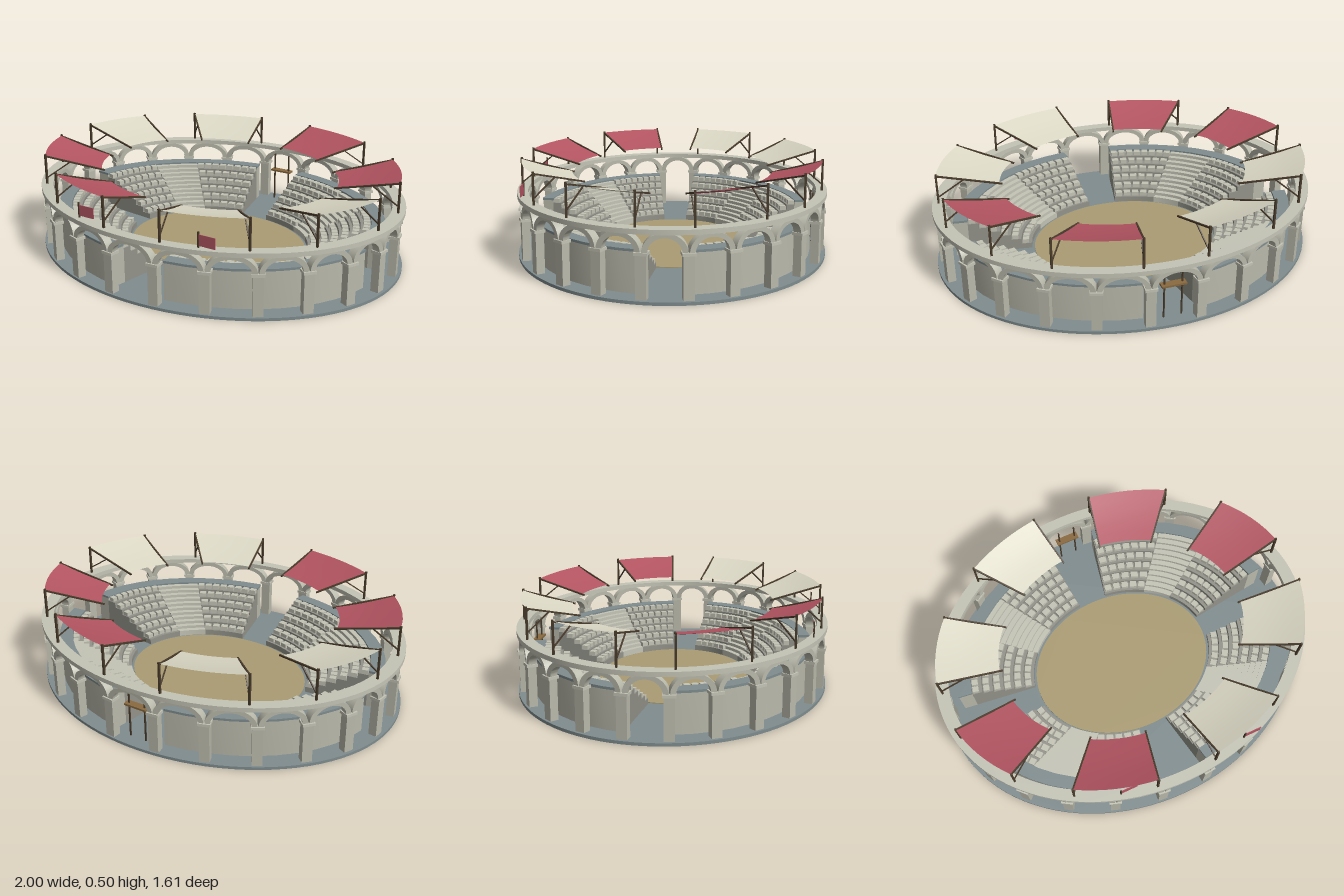
import * as THREE from 'three';
import { toCreasedNormals } from 'three/addons/utils/BufferGeometryUtils.js';

const K = 0.805; // ellipse depth / width
const RAD = Math.PI / 180;
const paint = (color, side = THREE.FrontSide) => new THREE.MeshStandardMaterial({ color, side });
const stone = paint(0xb9b9ab), pale = paint(0xc4c4b6), shade = paint(0x93938a);
const slate = paint(0x7f8c8e), sand = paint(0xaa9c72), dark = paint(0x4a3c2c), wood = paint(0x8a6a40);
const red = paint(0xb45562, THREE.DoubleSide), cream = paint(0xdcd9c6, THREE.DoubleSide);

// point on the ellipse of size r at parameter angle t (degrees)
const at = (r, t, y = 0) => new THREE.Vector3(r * Math.cos(t * RAD), y, -K * r * Math.sin(t * RAD));
// yaw that turns local +z to the outward normal
const yaw = (t) => Math.atan2(Math.cos(t * RAD), -Math.sin(t * RAD) / K);

function add(parent, name, geo, mat, pos, ry = 0) {
  const m = new THREE.Mesh(geo, mat);
  m.name = name;
  if (pos) m.position.copy(pos);
  m.rotation.y = ry;
  parent.add(m);
  return m;
}

// flat shape laid on the ground and raised from y0 to y1
function raise(shape, y0, y1, curveSegments = 48) {
  const g = new THREE.ExtrudeGeometry(shape, { depth: y1 - y0, bevelEnabled: false, curveSegments });
  g.rotateX(-Math.PI / 2).translate(0, y0, 0);
  return toCreasedNormals(g, 0.4);
}

function ellipse(r, hole) {
  const s = new THREE.Shape().absellipse(0, 0, r, r * K, 0, Math.PI * 2);
  if (hole) s.holes.push(new THREE.Path().absellipse(0, 0, hole, hole * K, 0, Math.PI * 2));
  return s;
}

function sector(r0, r1, y0, y1, t0, t1) {
  const pts = [], n = 10;
  const put = (r, t) => { const p = at(r, t); pts.push(new THREE.Vector2(p.x, -p.z)); };
  for (let i = 0; i <= n; i++) put(r1, t0 + (t1 - t0) * i / n);
  for (let i = n; i >= 0; i--) put(r0, t0 + (t1 - t0) * i / n);
  return raise(new THREE.Shape(pts), y0, y1);
}

// thin square bar between two points
function beam(parent, name, a, b, w, mat = dark) {
  const g = new THREE.BoxGeometry(w, w, a.distanceTo(b));
  const m = add(parent, name, g, mat, a.clone().add(b).multiplyScalar(0.5));
  m.lookAt(b);
}

// columns, capitals, arches and the crowning ring
function arcade() {
  const g = new THREE.Group();
  g.name = 'arcade';
  const n = 24, step = 360 / n, r = 0.963;
  for (let i = 0; i < n; i++) {
    const t = (i + 0.5) * step;
    add(g, 'column', new THREE.BoxGeometry(0.05, 0.2, 0.042), stone, at(r, t, 0.115), yaw(t));
    add(g, 'capital', new THREE.BoxGeometry(0.062, 0.014, 0.054), pale, at(r, t, 0.222), yaw(t));
    const a = at(r, t), b = at(r, t + step), half = a.distanceTo(b) / 2;
    const s = new THREE.Shape();
    s.moveTo(half, 0);
    s.absellipse(0, 0, half, 0.087, 0, Math.PI, false);
    s.lineTo(-half + 0.026, 0);
    s.absellipse(0, 0, half - 0.026, 0.065, Math.PI, 0, true);
    const geo = new THREE.ExtrudeGeometry(s, { depth: 0.042, bevelEnabled: false, curveSegments: 14 });
    geo.translate(0, 0, -0.021);
    const d = b.clone().sub(a);
    add(g, 'arch', toCreasedNormals(geo, 0.5), stone,
      a.add(b).multiplyScalar(0.5).setY(0.228), Math.atan2(-d.z, d.x));
  }
  add(g, 'topRing', raise(ellipse(0.998, 0.93), 0.312, 0.335), pale);
  return g;
}

// one quarter of the stands: two seating blocks with stairs between
function stand(start) {
  const g = new THREE.Group();
  g.name = 'stand';
  const rows = 6, r0 = 0.5, r1 = 0.83, depth = (r1 - r0) / rows;
  const height = (i) => 0.045 + i * 0.03;
  for (const [a, b] of [[9, 35.5], [54.5, 81]]) {
    const t0 = start + a, t1 = start + b;
    for (let i = 0; i < rows; i++) {
      const r = r0 + i * depth, y = height(i);
      add(g, 'tier', sector(r, r + depth, 0.014, y, t0, t1), shade);
      const count = 5 + Math.floor(i * 0.6), gap = (t1 - t0) / count;
      for (let k = 0; k < count; k++) {
        const t = t0 + (k + 0.5) * gap, rs = r + depth * 0.6;
        const width = at(rs, t - gap / 2).distanceTo(at(rs, t + gap / 2)) * 0.76;
        add(g, 'seat', new THREE.BoxGeometry(width, 0.022, 0.032), pale, at(rs, t, y + 0.011), yaw(t));
      }
    }
  }
  const steps = 11;
  for (let i = 0; i < steps; i++) {
    const d = (r1 - r0) / steps, r = r0 + i * d;
    add(g, 'stair', sector(r, r + d, 0.014, 0.03 + (i + 1) * 0.0165, start + 35.5, start + 54.5), pale);
  }
  add(g, 'outerWall', sector(r1, 0.9, 0.014, 0.208, start + 9, start + 81), stone);
  add(g, 'walkway', sector(r1, 0.905, 0.208, 0.22, start + 9, start + 81), slate);
  return g;
}

// sloping cloth on two braced posts
function awning(t0, t1, cloth) {
  const g = new THREE.Group();
  g.name = 'awning';
  const rIn = 0.65, rOut = 0.965;
  const slope = (r) => 0.42 + 0.07 * (r - rIn) / (rOut - rIn);
  const geo = new THREE.PlaneGeometry(1, 1, 8, 6), p = geo.attributes.position;
  for (let i = 0; i < p.count; i++) {
    const u = p.getX(i) + 0.5, v = p.getY(i) + 0.5, r = rIn + (rOut - rIn) * v;
    const q = at(r, t1 + (t0 - t1) * u, slope(r) - 0.006 * Math.sin(Math.PI * v));
    p.setXYZ(i, q.x, q.y, q.z);
  }
  geo.computeVertexNormals();
  add(g, 'cloth', geo, cloth);
  for (const t of [t0, t1]) {
    beam(g, 'post', at(0.965, t, 0.33), at(0.965, t, 0.497), 0.01);
    beam(g, 'rail', at(0.97, t, 0.488), at(0.635, t, 0.414), 0.008);
    beam(g, 'brace', at(0.96, t, 0.37), at(0.83, t, slope(0.83) - 0.005), 0.006);
  }
  return g;
}

export function createModel() {
  const model = new THREE.Group();
  model.name = 'amphitheatre';
  add(model, 'base', raise(ellipse(1), 0, 0.015), slate);
  add(model, 'arenaFloor', raise(ellipse(0.487), 0.01, 0.019), sand);
  model.add(arcade());

  for (let q = 0; q < 4; q++) {
    const cloth = q % 2 ? cream : red;
    model.add(stand(q * 90));
    model.add(awning(q * 90 + 9.5, q * 90 + 35, cloth));
    model.add(awning(q * 90 + 55, q * 90 + 80.5, cloth));
  }

  // flags on the front of the ring
  for (const x of [-0.34, 0.34]) {
    beam(model, 'flagPole', new THREE.Vector3(x, 0.33, 0.725), new THREE.Vector3(x, 0.413, 0.725), 0.007);
    add(model, 'flag', new THREE.BoxGeometry(0.085, 0.055, 0.003), red, new THREE.Vector3(x + 0.046, 0.372, 0.725));
  }

  // plank hung between two posts in the back gate
  for (const x of [-0.045, 0.045]) {
    beam(model, 'gatePost', new THREE.Vector3(x, 0.014, -0.735), new THREE.Vector3(x, 0.295, -0.735), 0.007);
  }
  add(model, 'gatePlank', new THREE.BoxGeometry(0.125, 0.01, 0.038), wood, new THREE.Vector3(0, 0.197, -0.735));
  return model;
}
